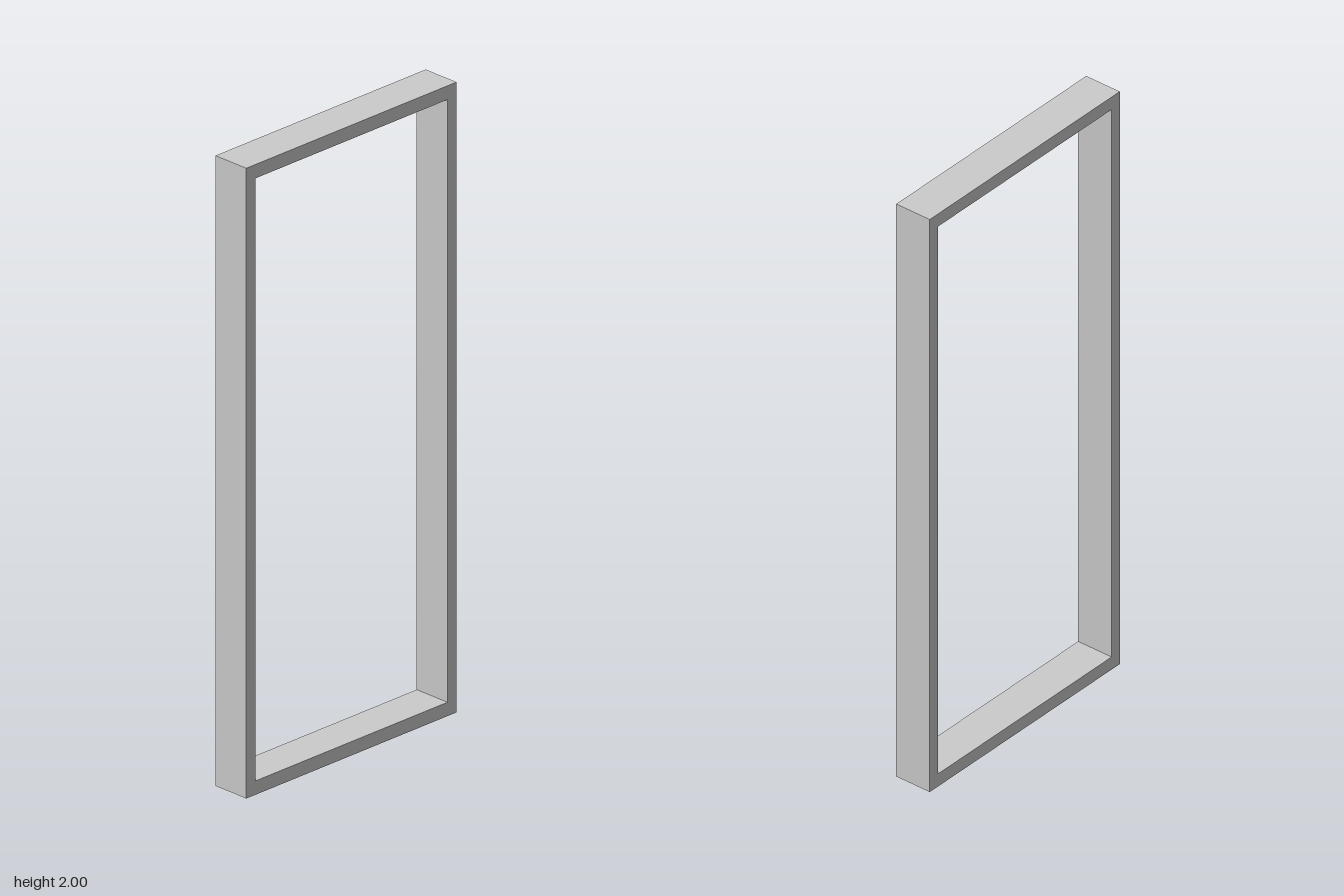
import * as THREE from 'three';

const HEIGHT = 2, WIDTH = 0.86, DEPTH = 0.126;
const JAMB = 0.037, RAIL = 0.044; // visible thickness of uprights and of top/bottom rails

// Rectangle outline, centred on x
function rectangle(PathType, halfWidth, y0, y1) {
  const path = new PathType();
  path.moveTo(-halfWidth, y0);
  path.lineTo(halfWidth, y0);
  path.lineTo(halfWidth, y1);
  path.lineTo(-halfWidth, y1);
  path.closePath();
  return path;
}

export function createModel() {
  const group = new THREE.Group();
  group.name = 'rectangularFrame';

  // Outer border with the opening cut through it
  const outline = rectangle(THREE.Shape, WIDTH / 2, 0, HEIGHT);
  outline.holes.push(rectangle(THREE.Path, WIDTH / 2 - JAMB, RAIL, HEIGHT - RAIL));

  // Extrude, centre the depth, then turn the opening to face the sides
  const geometry = new THREE.ExtrudeGeometry(outline, { depth: DEPTH, bevelEnabled: false });
  geometry.translate(0, 0, -DEPTH / 2);
  geometry.rotateY(-Math.PI / 2);

  const frame = new THREE.Mesh(geometry, new THREE.MeshStandardMaterial({ color: 0xcccccc }));
  frame.name = 'frame';
  group.add(frame);
  return group;
}
